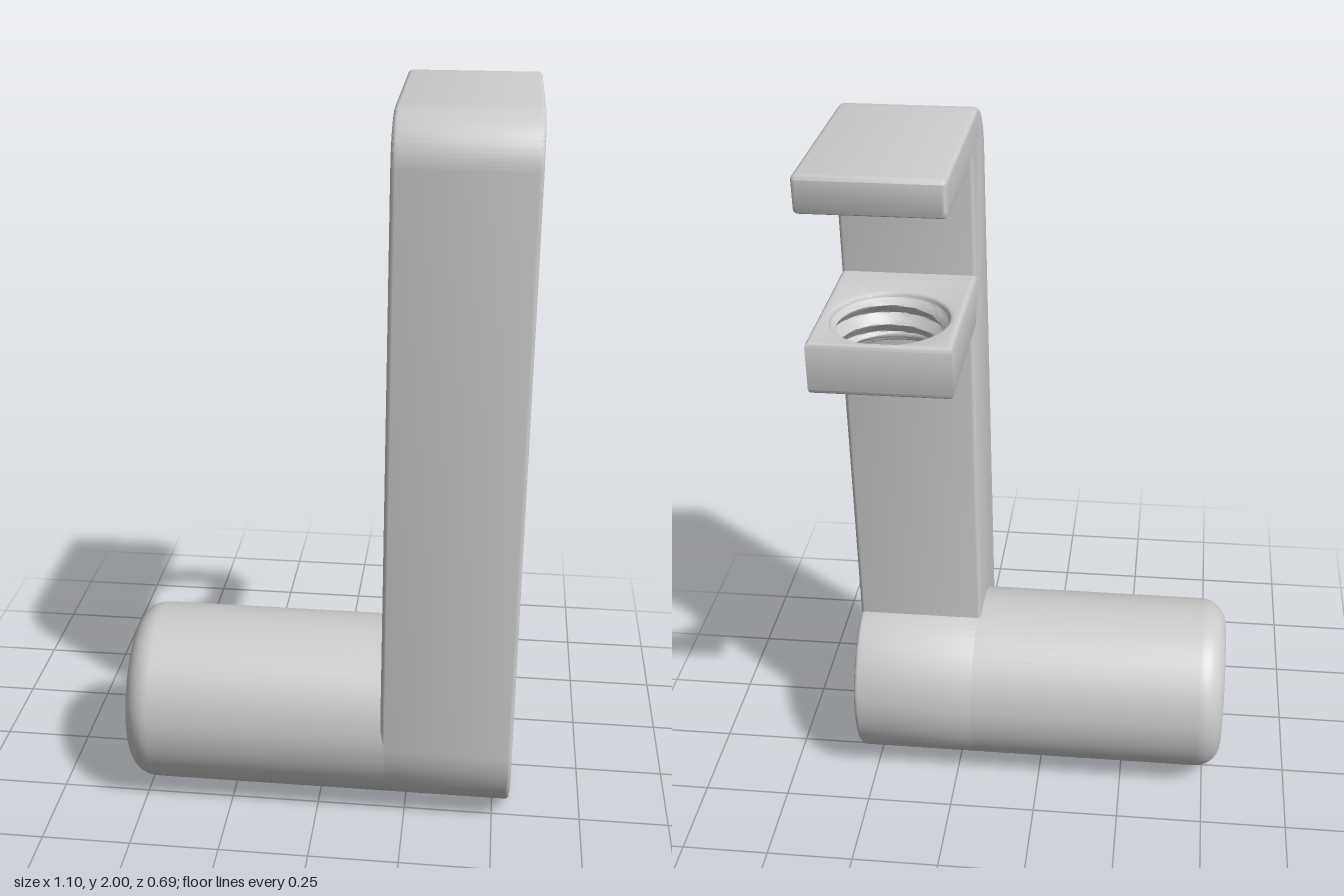
import * as THREE from 'three';
import { toCreasedNormals } from 'three/addons/utils/BufferGeometryUtils.js';

const BEVEL = 0.012;
const X0 = 0.183, X1 = 0.547;          // sides of the arm
const HANDLE = { y: 0.255, z: 0.093, r: 0.255 };
const TAB = { y0: 1.435, y1: 1.575, back: -0.345, front: 0.13 };
const HOLE = { x: (X0 + X1) / 2, z: -0.178, r: 0.15 };

const material = new THREE.MeshStandardMaterial({ color: 0xcccccc });
const threadMaterial = new THREE.MeshStandardMaterial({ color: 0xcccccc, side: THREE.DoubleSide });

function part(name, geometry, mat = material) {
  const mesh = new THREE.Mesh(toCreasedNormals(geometry, 0.6), mat);
  mesh.name = name;
  return mesh;
}

// Extrusion with softened edges that keeps the outline at full size
function softExtrude(shape, depth) {
  return new THREE.ExtrudeGeometry(shape, {
    depth: depth - 2 * BEVEL, bevelThickness: BEVEL, bevelSize: BEVEL,
    bevelOffset: -BEVEL, bevelSegments: 3, curveSegments: 48,
  }).translate(0, 0, BEVEL);
}

// Side profile of arm, top jaw and round foot, drawn in (-z, y)
function makeArm() {
  const { y, z, r } = HANDLE;
  const backZ = 0.022;
  const start = Math.acos((z - backZ) / r);
  const s = new THREE.Shape();
  s.moveTo(-backZ, y + r * Math.sin(start));
  s.absarc(-z, y, r, start, -Math.PI, true);
  s.lineTo(-0.315, 1.86);
  s.bezierCurveTo(-0.313, 1.94, -0.255, 2, -0.18, 2);
  s.lineTo(0.33, 2);
  s.quadraticCurveTo(0.345, 2, 0.345, 1.985);
  s.lineTo(0.345, 1.92);
  s.quadraticCurveTo(0.345, 1.905, 0.33, 1.905);
  s.lineTo(-0.097, 1.905);
  s.lineTo(-0.097, 1.5);
  s.lineTo(-backZ, 1.5);
  const g = softExtrude(s, X1 - X0);
  g.rotateY(Math.PI / 2).translate(X0, 0, 0);
  return part('arm', g);
}

// Lower jaw: a plate with a round hole, drawn in (x, -z)
function makeLowerJaw() {
  const s = new THREE.Shape();
  s.moveTo(X0, -TAB.front);
  s.lineTo(X1, -TAB.front);
  s.lineTo(X1, -TAB.back);
  s.lineTo(X0, -TAB.back);
  s.closePath();
  const hole = new THREE.Path();
  hole.absarc(HOLE.x, -HOLE.z, HOLE.r, 0, Math.PI * 2, true);
  s.holes.push(hole);
  const g = softExtrude(s, TAB.y1 - TAB.y0);
  g.rotateX(-Math.PI / 2).translate(0, TAB.y0, 0);
  return part('lowerJaw', g);
}

// Screw thread: a tube whose radius follows a helical ridge, fading at both ends
function makeThread() {
  const h = TAB.y1 - TAB.y0 - 2 * BEVEL, pitch = 0.055, ridge = 0.02;
  const g = new THREE.CylinderGeometry(1, 1, h, 72, 32, true);
  const p = g.attributes.position;
  for (let i = 0; i < p.count; i++) {
    const x = p.getX(i), y = p.getY(i), z = p.getZ(i);
    const t = y / pitch + Math.atan2(z, x) / (2 * Math.PI);
    const wave = Math.abs((t - Math.floor(t)) * 2 - 1);
    const fade = Math.min(1, (h / 2 - Math.abs(y)) / 0.012);
    const r = HOLE.r - ridge * wave * fade - 0.001;
    p.setXYZ(i, x * r, y, z * r);
  }
  g.translate(HOLE.x, (TAB.y0 + TAB.y1) / 2, HOLE.z);
  return part('screwThread', g, threadMaterial);
}

// Round handle with a filleted free end
function makeHandle() {
  const { y, z, r } = HANDLE, end = 0.55, f = 0.075;
  const pts = [new THREE.Vector2(r, -X0 - 0.03)];
  for (let i = 0; i <= 10; i++) {
    const a = (i / 10) * Math.PI / 2;
    pts.push(new THREE.Vector2(r - f + f * Math.cos(a), end - f + f * Math.sin(a)));
  }
  pts.push(new THREE.Vector2(0, end));
  const g = new THREE.LatheGeometry(pts, 72);
  g.rotateZ(Math.PI / 2).translate(0, y, z);
  return part('handle', g);
}

export function createModel() {
  const group = new THREE.Group();
  group.name = 'clampHandle';
  group.add(makeArm(), makeLowerJaw(), makeThread(), makeHandle());
  return group;
}
